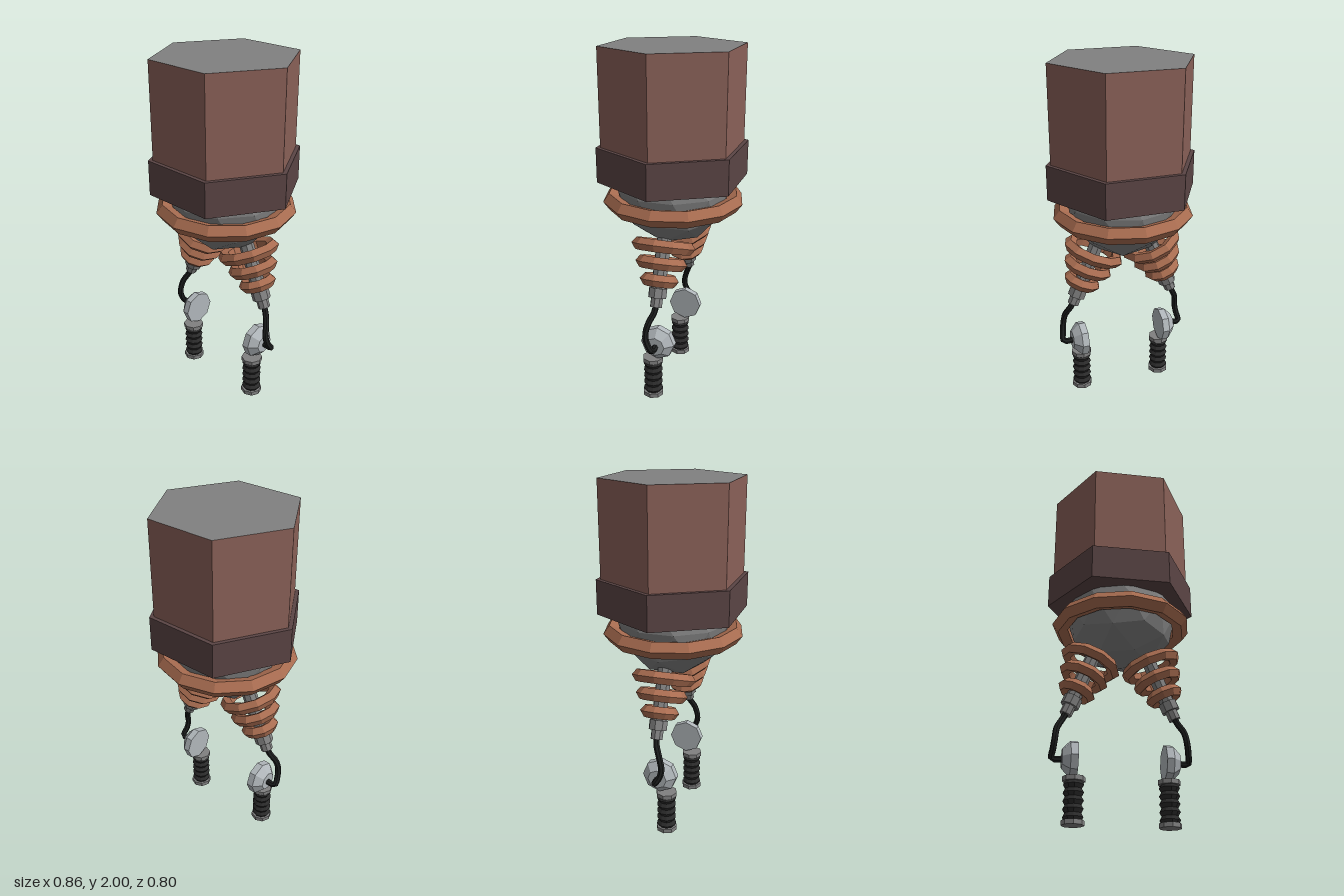
import * as THREE from 'three';

const mat = (name, color) => {
  const m = new THREE.MeshStandardMaterial({ color, flatShading: true });
  m.name = name;
  return m;
};

export function createModel() {
  const brown = mat('red brown', 0x8a6158);
  const darkBrown = mat('dark brown', 0x5b4545);
  const copper = mat('copper', 0xa86c50);
  const grey = mat('grey', 0x808080);
  const paleGrey = mat('pale grey', 0xb0b6ba);
  const black = mat('cable black', 0x1c1e1e);
  const charcoal = mat('grip charcoal', 0x2b2b2b);

  const model = new THREE.Group();
  model.name = 'hangingMachine';

  const add = (parent, name, geometry, material, x = 0, y = 0, z = 0) => {
    const mesh = new THREE.Mesh(geometry, material);
    mesh.name = name;
    mesh.position.set(x, y, z);
    parent.add(mesh);
    return mesh;
  };
  // Upright cylinder between two heights
  const post = (parent, name, material, r, y0, y1, sides = 8, x = 0, z = 0) =>
    add(parent, name, new THREE.CylinderGeometry(r, r, y1 - y0, sides), material, x, (y0 + y1) / 2, z);
  // Five-sided ring lying flat, given its outer radius
  const ring = (parent, name, outer, tube, sides, y) =>
    add(parent, name, new THREE.TorusGeometry(outer - tube, tube, 5, sides).rotateX(Math.PI / 2), copper, 0, y, 0);
  const lathe = (points, sides) =>
    new THREE.LatheGeometry(points.map(([r, y]) => new THREE.Vector2(r, y)), sides);

  // Hexagonal body, with a grey top, and its collar
  post(model, 'body', [brown, grey, brown], 0.405, 1.4, 2, 6).rotation.y = Math.PI / 2;
  post(model, 'collar', darkBrown, 0.43, 1.268, 1.465, 6).rotation.y = Math.PI / 2;

  // Faceted core with one corner pointing straight down, and the ring round it
  const core = new THREE.IcosahedronGeometry(0.32, 1).rotateZ(Math.atan(2 / (1 + Math.sqrt(5))));
  add(model, 'core', core, grey, 0, 1.22, 0);
  ring(model, 'coreRing', 0.4, 0.05, 12, 1.152);

  // Ribbed profile of the grip
  const ribs = 5, gripBottom = 0.02, gripTop = 0.23;
  const gripProfile = [];
  for (let i = 0; i <= ribs * 2; i++) {
    gripProfile.push([i % 2 ? 0.056 : 0.044, gripBottom + (gripTop - gripBottom) * i / (ribs * 2)]);
  }

  for (const s of [1, -1]) {
    const side = s > 0 ? 'left' : 'right';
    const arm = new THREE.Group();
    arm.name = side + 'Arm';
    model.add(arm);

    // Tilted shoulder: shaft, three shrinking rings and a stepped nozzle
    const shoulder = new THREE.Group();
    shoulder.name = side + 'Shoulder';
    shoulder.position.set(s * 0.175, 0.923, 0);
    shoulder.rotation.z = s * 0.39;
    arm.add(shoulder);
    post(shoulder, 'shaft', grey, 0.042, -0.25, 0.17);
    [0.18, 0.146, 0.11].forEach((r, i) => ring(shoulder, 'shoulderRing', r, 0.036, 10, -0.096 * i));
    post(shoulder, 'nut', grey, 0.053, -0.29, -0.235);
    post(shoulder, 'nozzle', grey, 0.035, -0.343, -0.28);

    // Drooping cable from nozzle to hub
    const path = new THREE.CatmullRomCurve3([
      [0.295, 0.63, 0], [0.32, 0.58, 0.005], [0.35, 0.52, 0.03], [0.36, 0.45, 0.046],
      [0.366, 0.4, 0.035], [0.37, 0.356, 0.006], [0.3, 0.354, 0.003],
    ].map(([x, y, z]) => new THREE.Vector3(s * x, y, z)));
    add(arm, 'cable', new THREE.TubeGeometry(path, 20, 0.018, 7), black);

    // Round hub, flat on the inside and tapering outwards
    const hub = lathe([[0, 0], [0.1, 0], [0.1, 0.04], [0.055, 0.083], [0, 0.083]], 8);
    add(arm, 'hub', hub, paleGrey, s * 0.235, 0.355, 0.005).rotation.z = -s * Math.PI / 2;

    // Handle: ribbed grip between two end caps
    add(arm, 'grip', lathe(gripProfile, 10), charcoal, s * 0.253, 0, 0.04);
    post(arm, 'lowerCap', grey, 0.061, 0, 0.025, 8, s * 0.253, 0.04);
    post(arm, 'upperCap', grey, 0.061, 0.225, 0.25, 8, s * 0.253, 0.04);
  }
  return model;
}
